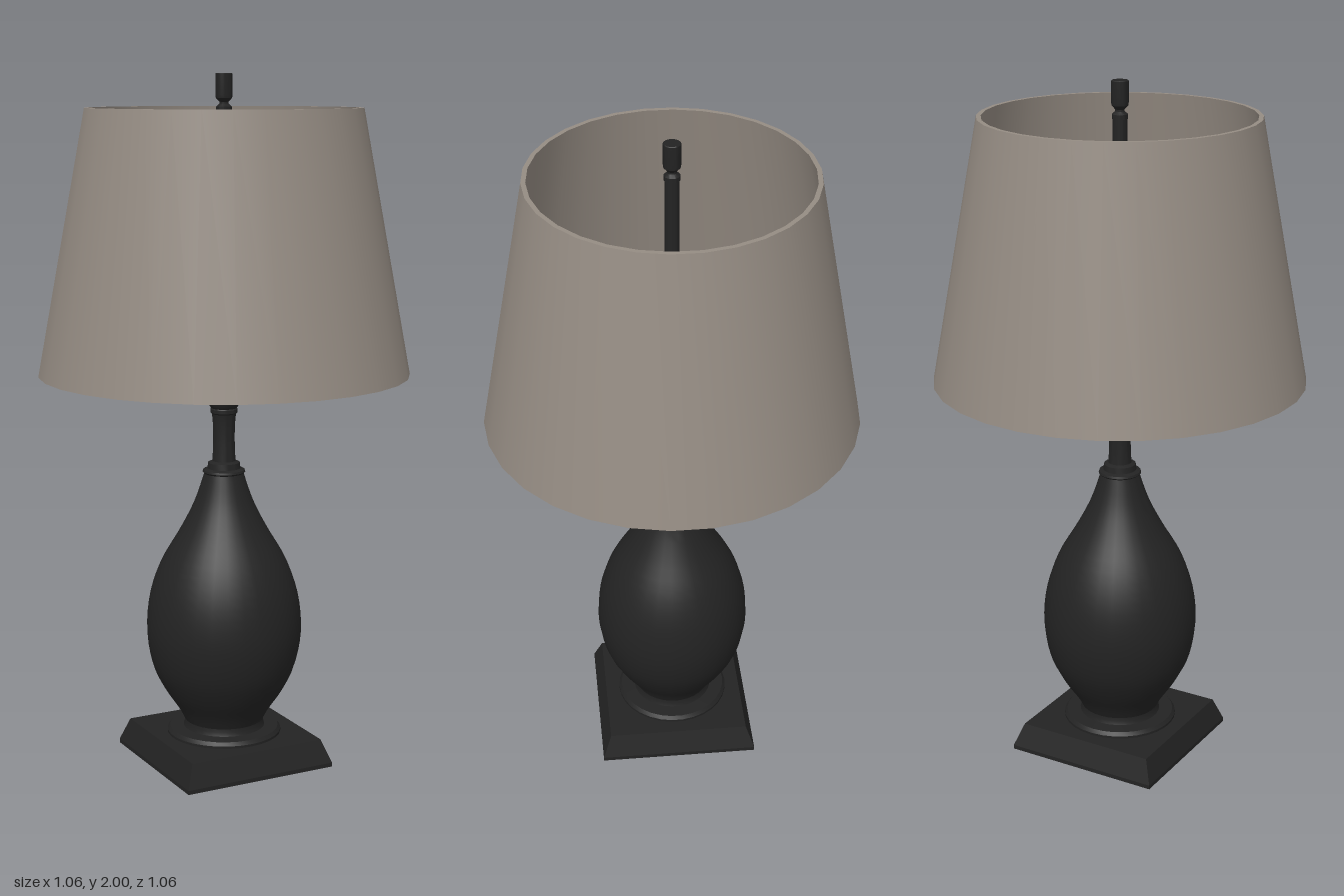
import * as THREE from 'three';
import { toCreasedNormals } from 'three/addons/utils/BufferGeometryUtils.js';

const SIDES = 30;

export function createModel() {
  const lamp = new THREE.Group();
  lamp.name = 'tableLamp';

  const black = new THREE.MeshStandardMaterial({ color: 0x232323 });
  black.name = 'matte black';
  const linen = new THREE.MeshStandardMaterial({ color: 0x958c83 });
  linen.name = 'grey linen';

  const vectors = (pairs) => pairs.map(([r, y]) => new THREE.Vector2(r, y));

  // Turned part from [radius, height] pairs running upwards
  function turned(name, points, material = black) {
    const geometry = toCreasedNormals(new THREE.LatheGeometry(points, SIDES), 0.5);
    const mesh = new THREE.Mesh(geometry, material);
    mesh.name = name;
    lamp.add(mesh);
  }
  const smooth = (pairs, steps) => new THREE.SplineCurve(vectors(pairs)).getPoints(steps);

  // Square plinth: low straight lip, then a sloped block
  function squareBlock(name, bottomHalf, topHalf, y0, y1) {
    const geometry = new THREE.CylinderGeometry(
      topHalf * Math.SQRT2, bottomHalf * Math.SQRT2, y1 - y0, 4, 1, false, Math.PI / 4
    );
    const mesh = new THREE.Mesh(toCreasedNormals(geometry, 0.2), black);
    mesh.position.y = (y0 + y1) / 2;
    mesh.name = name;
    lamp.add(mesh);
  }
  squareBlock('plinthLip', 0.235, 0.235, 0, 0.012);
  squareBlock('plinth', 0.235, 0.21, 0.012, 0.08);

  // Round foot between plinth and body
  turned('foot', vectors([
    [0.168, 0.078], [0.168, 0.087], [0.16, 0.097], [0.12, 0.099], [0.116, 0.11], [0.116, 0.125],
  ]));

  // Teardrop body
  turned('body', smooth([
    [0.116, 0.12], [0.135, 0.155], [0.175, 0.215], [0.21, 0.29], [0.227, 0.39], [0.217, 0.5],
    [0.183, 0.6], [0.125, 0.7], [0.085, 0.78], [0.056, 0.865],
  ], 32));

  // Collar and slim neck
  turned('collar', vectors([
    [0.056, 0.86], [0.062, 0.866], [0.06, 0.872], [0.048, 0.876], [0.046, 0.893], [0.034, 0.898],
  ]));
  turned('neck', smooth([
    [0.034, 0.89], [0.031, 0.96], [0.033, 1.02], [0.038, 1.05],
  ], 8));
  turned('neckRing', vectors([
    [0.033, 1.034], [0.039, 1.04], [0.039, 1.05], [0.034, 1.056],
  ]));

  // Vase-shaped socket cover, hidden partly by the shade
  turned('socketCover', smooth([
    [0.036, 1.052], [0.046, 1.07], [0.058, 1.13], [0.062, 1.17], [0.052, 1.22],
    [0.032, 1.27], [0.021, 1.32],
  ], 18));

  // Upright rod and finial
  turned('rod', vectors([[0.02, 1.3], [0.02, 1.9], [0, 1.9]]));
  turned('finial', vectors([
    [0.022, 1.895], [0.022, 1.908], [0.013, 1.916], [0.013, 1.921], [0.023, 1.932],
    [0.024, 1.94], [0.024, 1.998], [0.022, 2], [0, 2],
  ]));

  // Open tapered shade with a thin wall: outside, top rim, inside, bottom rim
  turned('shade', vectors([
    [0.532, 1.155], [0.392, 1.905], [0.379, 1.905], [0.519, 1.155], [0.532, 1.155],
  ]), linen);

  return lamp;
}
